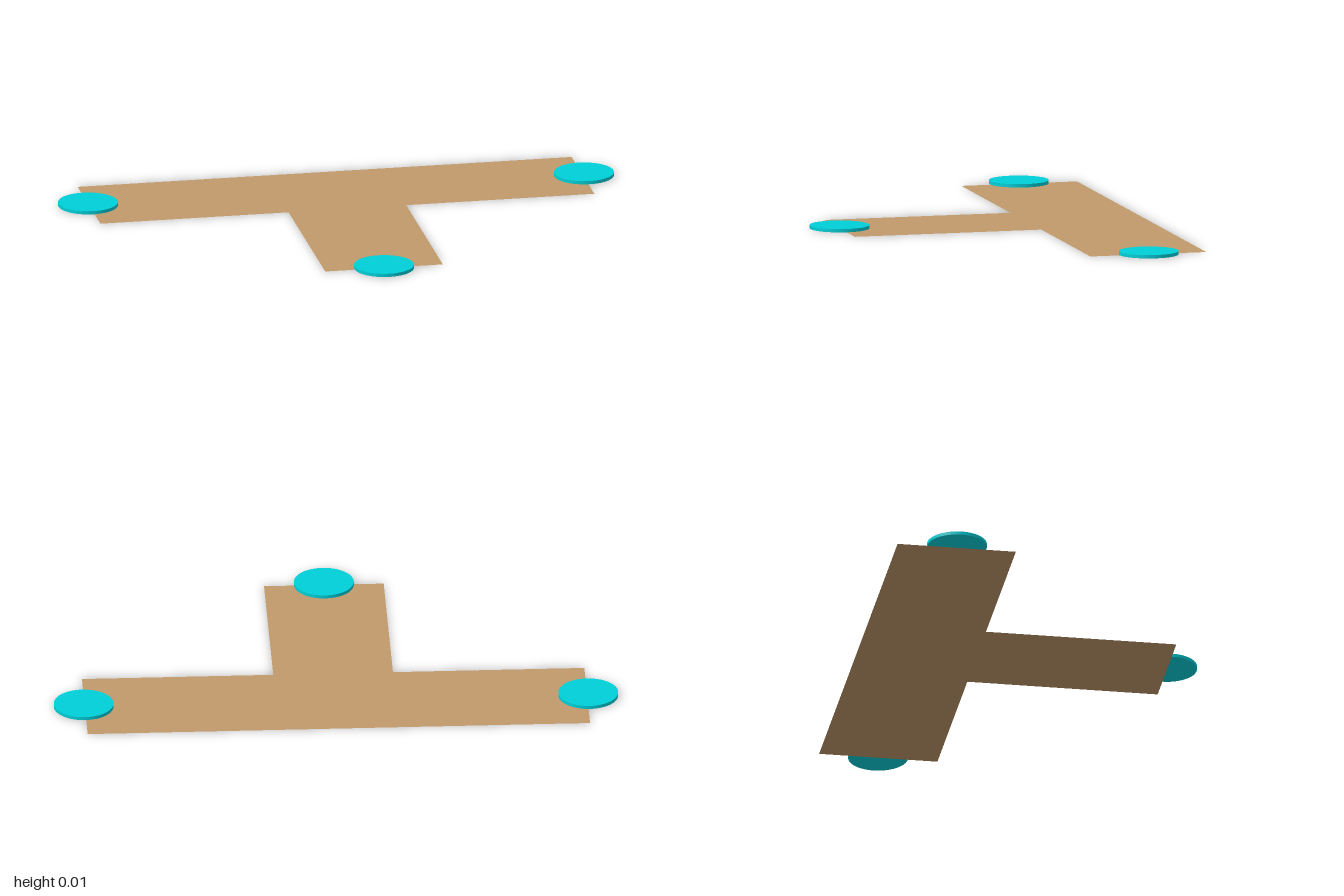
import * as THREE from 'three';

export function createModel() {
  const model = new THREE.Group();
  const tan = new THREE.MeshStandardMaterial({ color: 0xc19a6b, side: THREE.DoubleSide });
  const cyan = new THREE.MeshStandardMaterial({ color: 0x00d0d8 });

  const R = 0.106, H = 0.012;         // disc radius and thickness
  const arm = 0.89, half = 0.212;     // crossbar half length, band half width
  const barZ = -0.394, tipZ = 0.5;    // crossbar centre line, end of the stem

  // Paper-thin T-shaped sheet lying on the ground (shape y is -z)
  const outline = [
    [-arm, barZ - half], [-arm, barZ + half], [-half, barZ + half], [-half, tipZ],
    [half, tipZ], [half, barZ + half], [arm, barZ + half], [arm, barZ - half],
  ].map(([x, z]) => new THREE.Vector2(x, -z));
  const sheet = new THREE.Mesh(new THREE.ShapeGeometry(new THREE.Shape(outline)), tan);
  sheet.rotation.x = -Math.PI / 2;
  sheet.name = 'tSheet';
  model.add(sheet);

  // One disc centred on the end of each limb, just above the sheet
  const discGeometry = new THREE.CylinderGeometry(R, R, H, 64);
  const ends = { leftDisc: [arm + 0.004, barZ], rightDisc: [-arm - 0.004, barZ], frontDisc: [0, tipZ] };
  for (const [name, [x, z]] of Object.entries(ends)) {
    const disc = new THREE.Mesh(discGeometry, cyan);
    disc.position.set(x, 0.001 + H / 2, z);
    disc.name = name;
    model.add(disc);
  }
  return model;
}
